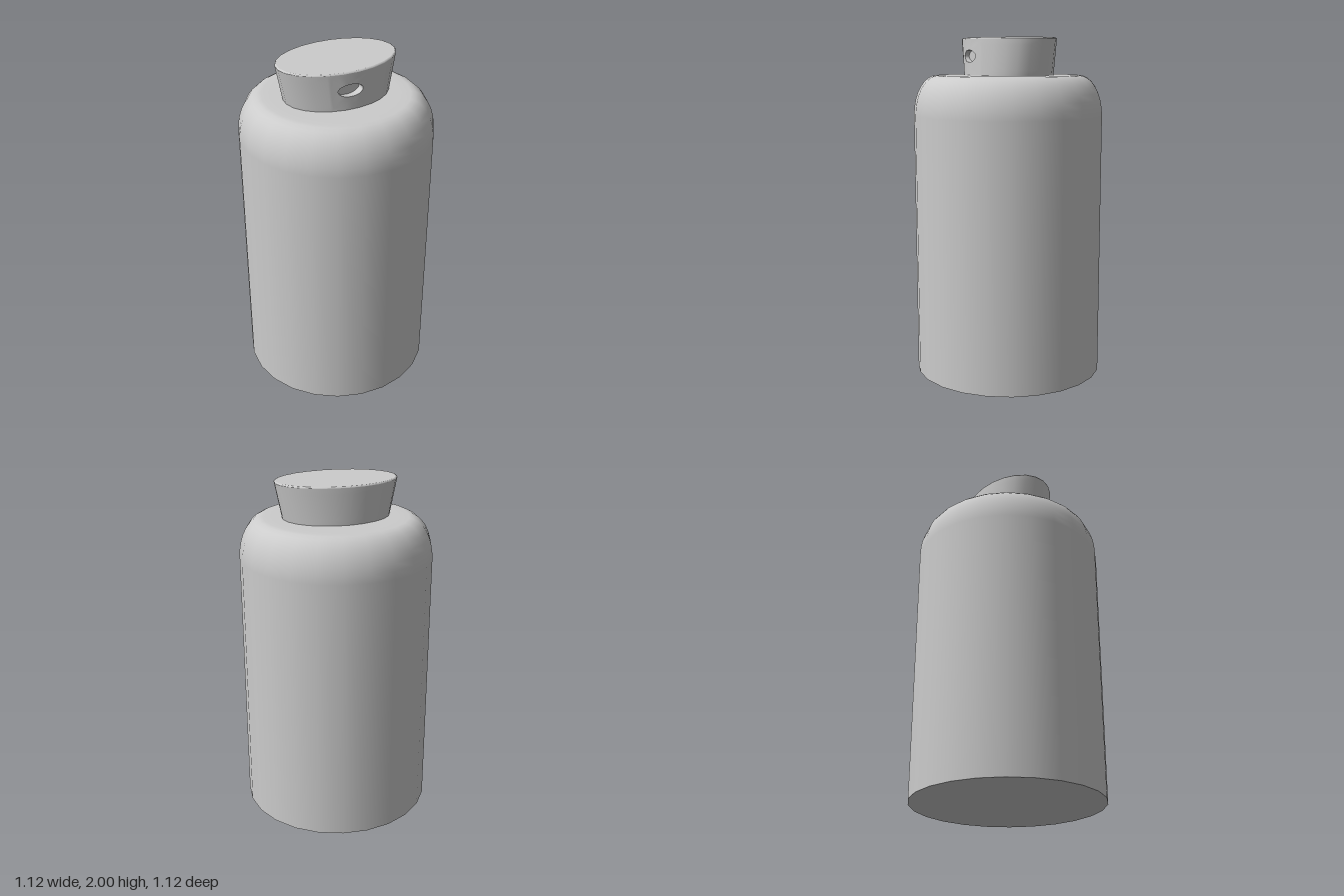
import * as THREE from 'three';
import { mergeVertices } from 'three/addons/utils/BufferGeometryUtils.js';

const SIDES = 24, BASE = 1.78, RIM = 1.992, ROWS = 6;
const STEP = Math.PI * 2 / SIDES;

// Point on the flared oval cap wall: u counts sides from the front, h runs 0..1 up the wall
function capPoint(u, h) {
  const i = Math.floor(u), f = u - i;
  const mix = (fn) => fn(i * STEP) * (1 - f) + fn((i + 1) * STEP) * f;
  const rx = 0.315 + 0.045 * h;
  return [rx * mix(Math.sin), BASE + (RIM - BASE) * h, 0.24 * mix(Math.cos)];
}

// Joins equal-length rows of points with quads
function loft(rows, positions, index) {
  const base = positions.length / 3, n = rows[0].length;
  rows.forEach((row) => row.forEach((p) => positions.push(...p)));
  for (let r = 0; r < rows.length - 1; r++) {
    for (let c = 0; c < n - 1; c++) {
      const a = base + r * n + c, b = a + n;
      index.push(a, a + 1, b + 1, a, b + 1, b);
    }
  }
}

function surface(...lofts) {
  const positions = [], index = [];
  lofts.forEach((rows) => loft(rows, positions, index));
  let g = new THREE.BufferGeometry();
  g.setAttribute('position', new THREE.Float32BufferAttribute(positions, 3));
  g.setIndex(index);
  g = mergeVertices(g, 1e-5);
  g.computeVertexNormals();
  return g;
}

const range = (n, fn) => Array.from({ length: n + 1 }, (_, i) => fn(i));

export function createModel() {
  const model = new THREE.Group();
  const material = new THREE.MeshStandardMaterial({ color: 0xcccccc, side: THREE.DoubleSide });
  const add = (name, geometry, parent = model) => {
    const mesh = new THREE.Mesh(geometry, material);
    mesh.name = name;
    parent.add(mesh);
  };

  // Bottle body with a rounded shoulder; doubled points keep the base edge sharp
  const profile = [[0, 0], [0.56, 0], [0.56, 0], [0.56, 1.55]];
  for (let i = 1; i <= 8; i++) {
    const a = i / 8 * Math.PI / 2;
    profile.push([0.42 + 0.14 * Math.cos(a), 1.55 + 0.235 * Math.sin(a)]);
  }
  profile.push([0.36, 1.785], [0, 1.785]);
  add('body', new THREE.LatheGeometry(profile.map((p) => new THREE.Vector2(...p)), SIDES));

  const cap = new THREE.Group();
  cap.name = 'cap';
  model.add(cap);

  // Cap wall, leaving a panel three sides wide open at the front
  const wall = range(ROWS, (r) => range(SIDES - 3, (c) => capPoint(1 + c, r / ROWS)));

  // Front panel: rings blending from its rectangular border to the oval spout hole
  const ring = (t) => range(24, (k) => {
    const side = Math.floor(k / 6) % 4, s = (k % 6) / 3 - 1;
    const [x, y] = [[s, -1], [1, s], [-s, 1], [-1, -s]][side];
    const a = -Math.PI * 0.75 + k / 24 * Math.PI * 2;
    const u = (-0.5 + 1.5 * x) * (1 - t) + (-0.57 + 0.85 * Math.cos(a)) * t;
    const h = (0.5 + 0.5 * y) * (1 - t) + (0.54 + 0.165 * Math.sin(a)) * t;
    return capPoint(u, h);
  });
  add('capWall', surface(wall, range(4, (i) => ring(i / 4))), cap);

  // Spout recess: side wall and floor
  const rim = ring(1);
  const floor = rim.map(([x, y]) => [x, y, 0.195]);
  add('spoutRecess', surface([rim, floor]), cap);
  add('spoutFloor', surface([floor, floor.map(() => [-0.05, 1.895, 0.195])]), cap);

  // Slightly eased top edge and flat lid
  const oval = (inset, y) => range(SIDES, (c) => [
    (0.36 - inset) * Math.sin(c * STEP), y, (0.24 - inset) * Math.cos(c * STEP)]);
  add('capEdge', surface([oval(0, RIM), oval(0.002, 1.997), oval(0.008, 2)]), cap);
  add('capTop', surface([oval(0.008, 2), oval(0.008, 2).map(() => [0, 2, 0])]), cap);

  return model;
}
